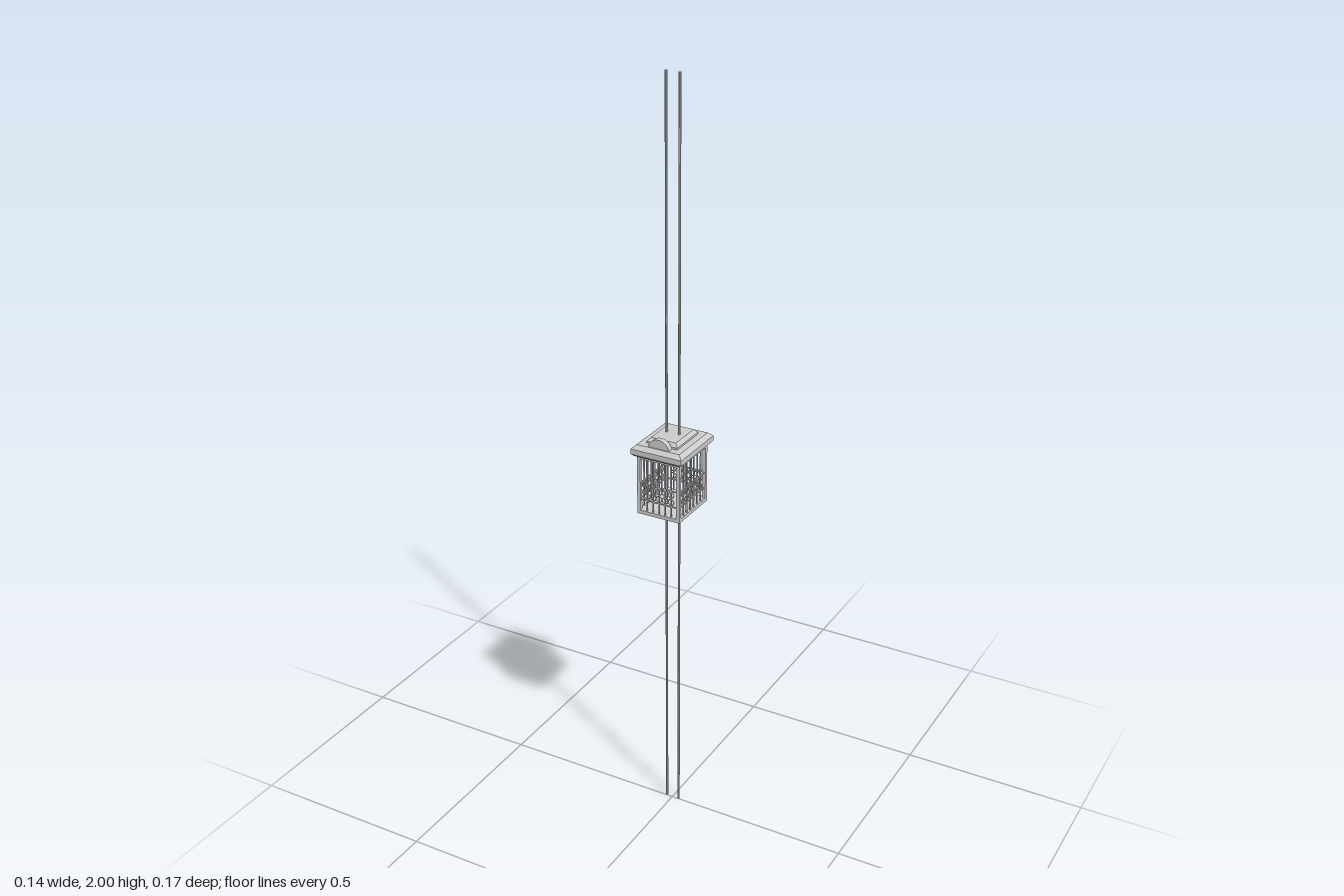
import * as THREE from 'three';

const material = new THREE.MeshStandardMaterial({ color: 0xcccccc, flatShading: true });

function add(parent, name, geometry, x = 0, y = 0, z = 0) {
  const mesh = new THREE.Mesh(geometry, material);
  mesh.name = name;
  mesh.position.set(x, y, z);
  parent.add(mesh);
  return mesh;
}

const box = (w, h, d) => new THREE.BoxGeometry(w, h, d);

// Box whose top (or bottom) face is drawn in by an equal inset on all sides
function beveledBox(w, h, d, inset, atTop = true) {
  const g = box(w, h, d);
  const p = g.attributes.position;
  for (let i = 0; i < p.count; i++) {
    if ((p.getY(i) > 0) !== atTop) continue;
    p.setX(i, p.getX(i) - Math.sign(p.getX(i)) * inset);
    p.setZ(i, p.getZ(i) - Math.sign(p.getZ(i)) * inset);
  }
  g.computeVertexNormals();
  return g;
}

// Open grille facing +z: thin bars, rails and two rows of rings
function grille(name, width, barCount) {
  const g = new THREE.Group();
  g.name = name;
  const step = width / (barCount + 1);
  const bottom = 0.912, top = 1.058;
  for (let i = 1; i <= barCount; i++) {
    add(g, 'bar', box(0.003, top - bottom, 0.003), -width / 2 + i * step, (top + bottom) / 2, 0);
  }
  for (const y of [0.941, 0.984]) add(g, 'rail', box(width, 0.003, 0.003), 0, y, 0);
  const ring = new THREE.TorusGeometry(0.008, 0.0014, 4, 12);
  for (const y of [0.953, 0.973]) {
    for (let i = 1; i <= barCount; i++) add(g, 'ring', ring, -width / 2 + i * step, y, 0);
  }
  return g;
}

export function createModel() {
  const model = new THREE.Group();
  model.name = 'elevator';
  const hx = 0.06, hz = 0.072; // half size of the cage
  const post = 0.009;

  // Cables
  for (const x of [-0.018, 0.018]) {
    add(model, 'cable', new THREE.CylinderGeometry(0.0032, 0.0032, 2, 8), x, 1, -0.003);
  }

  // Cage frame
  const cage = new THREE.Group();
  cage.name = 'cage';
  model.add(cage);
  add(cage, 'floor', box(hx * 2, 0.01, hz * 2), 0, 0.907, 0);
  for (const sx of [-1, 1]) {
    for (const sz of [-1, 1]) {
      add(cage, 'cornerPost', box(post, 0.15, post), sx * (hx - post / 2), 0.985, sz * (hz - post / 2));
    }
    add(cage, 'sideTopBeam', box(post, 0.008, hz * 2 - post * 2), sx * (hx - post / 2), 1.058, 0);
    add(cage, 'endTopBeam', box(hx * 2 - post * 2, 0.008, post), 0, 1.058, sx * (hz - post / 2));
  }

  // Grilles on all four sides
  const walls = [
    ['frontGrille', hx, hz, 0, 5], ['leftGrille', hz, hx, 1, 6],
    ['backGrille', hx, hz, 2, 5], ['rightGrille', hz, hx, 3, 6],
  ];
  for (const [name, halfWidth, distance, quarter, bars] of walls) {
    const wall = grille(name, (halfWidth - post) * 2, bars);
    const angle = quarter * Math.PI / 2;
    wall.rotation.y = angle;
    wall.position.set(Math.sin(angle) * (distance - post / 2), 0, Math.cos(angle) * (distance - post / 2));
    cage.add(wall);
  }

  // Stepped roof
  const roof = new THREE.Group();
  roof.name = 'roof';
  model.add(roof);
  add(roof, 'eave', beveledBox(0.142, 0.006, 0.168, 0.006, false), 0, 1.065, 0);
  add(roof, 'roofSlab', box(0.142, 0.014, 0.168), 0, 1.075, 0);
  add(roof, 'roofBevel', beveledBox(0.142, 0.01, 0.168, 0.011), 0, 1.087, 0);
  add(roof, 'upperStep', box(0.086, 0.006, 0.108), 0, 1.094, -0.001);
  add(roof, 'upperBevel', beveledBox(0.086, 0.009, 0.108, 0.008), 0, 1.1015, -0.001);

  // Half-round dial plate above the front
  const arch = new THREE.Shape();
  arch.moveTo(0.03, 0);
  arch.absarc(0, 0, 0.03, 0, Math.PI, false);
  arch.closePath();
  add(roof, 'dialPlate', new THREE.ExtrudeGeometry(arch, { depth: 0.015, bevelEnabled: false, curveSegments: 12 }), 0, 1.086, 0.055);

  return model;
}
